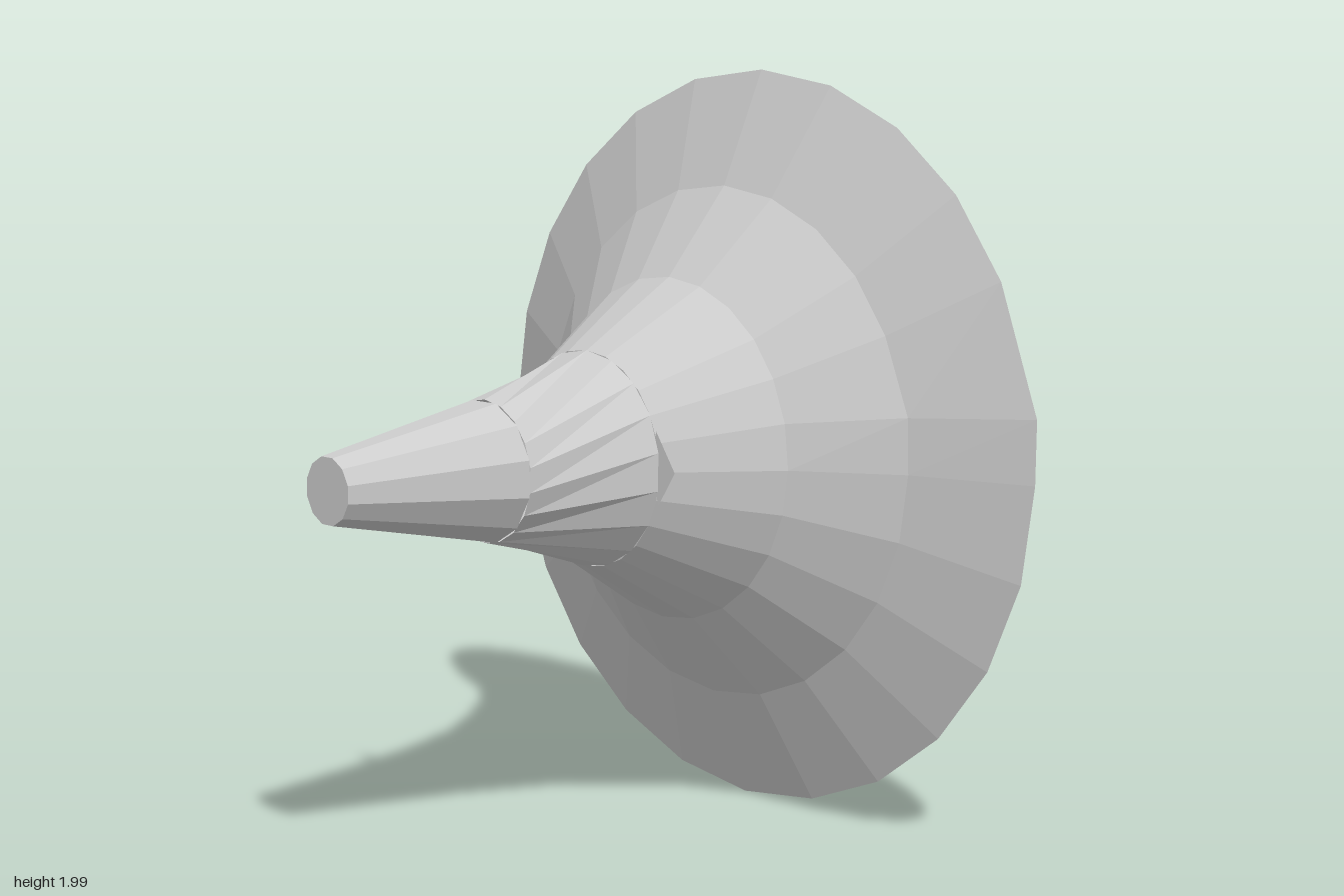
import * as THREE from 'three';

const material = new THREE.MeshStandardMaterial({ color: 0xcccccc, flatShading: true, side: THREE.DoubleSide });
const rad = THREE.MathUtils.degToRad;
const AXIS_Y = 1;

// Ring of points around the horn axis; skew shifts the seam corner on both sides.
function ring(radius, z, sides, start, skew = 0) {
  const points = [];
  for (let i = 0; i < sides; i++) {
    const seam = i === 0 || i === sides / 2;
    const a = rad(start + (i * 360) / sides - (seam ? skew : 0));
    const r = seam && skew ? radius * 1.012 : radius;
    points.push(new THREE.Vector3(r * Math.cos(a), AXIS_Y + r * Math.sin(a), z));
  }
  return points;
}

function meshFrom(name, points) {
  const geometry = new THREE.BufferGeometry().setFromPoints(points);
  geometry.computeVertexNormals();
  const mesh = new THREE.Mesh(geometry, material);
  mesh.name = name;
  return mesh;
}

// Faceted sleeve between a back ring and a front ring.
function band(name, back, front) {
  const points = [];
  back.forEach((b, i) => {
    const j = (i + 1) % back.length;
    points.push(b, back[j], front[i], back[j], front[j], front[i]);
  });
  return meshFrom(name, points);
}

// Flat end closing a ring, facing +z or -z.
function cap(name, points, facing) {
  const centre = new THREE.Vector3(0, AXIS_Y, points[0].z);
  const fan = [];
  points.forEach((p, i) => {
    const next = points[(i + 1) % points.length];
    fan.push(centre, ...(facing > 0 ? [p, next] : [next, p]));
  });
  return meshFrom(name, fan);
}

// Thin flat sliver standing out from a joint between two sleeves.
function fin(name, z, corners) {
  const shape = new THREE.Shape(corners.map(([x, y]) => new THREE.Vector2(x, y)));
  const mesh = new THREE.Mesh(new THREE.ShapeGeometry(shape), material);
  mesh.position.z = z;
  mesh.name = name;
  return mesh;
}

export function createModel() {
  const group = new THREE.Group();
  group.name = 'flaredHorn';

  // Flared bell
  const rim = ring(0.995, -0.72, 24, 14, 5.5);
  const flare = ring(0.69, -0.59, 24, 14, 3);
  const throat = ring(0.457, -0.395, 24, 14);
  group.add(band('bellRim', rim, flare), band('bellFlare', flare, throat));
  group.add(cap('backDisc', rim, -1));

  // Throat, twisted collar and narrow tip
  group.add(band('throat', throat, ring(0.283, -0.11, 24, 14)));
  const collarBack = ring(0.283, -0.11, 18, 9);
  const collarFront = ring(0.183, 0.23, 18, -11);
  group.add(band('twistedCollar', collarBack, collarFront));
  const tip = ring(0.086, 0.72, 12, 15);
  group.add(band('tip', ring(0.183, 0.23, 12, 15), tip), cap('tipCap', tip, 1));

  // Side slivers at the joints
  for (const s of [1, -1]) {
    group.add(fin(s > 0 ? 'leftFin' : 'rightFin', -0.11,
      [[s * 0.34, 1.0], [s * 0.27, 1.1], [s * 0.255, 1.0], [s * 0.28, 0.91]]));
  }
  group.add(fin('rightTipFin', 0.23, [[-0.28, 1.03], [-0.18, 1.1], [-0.165, 1.0], [-0.18, 0.97]]));
  group.add(fin('rightBellFin', -0.395, [[-0.51, 1.06], [-0.4, 1.22], [-0.455, 1.07], [-0.43, 0.89]]));

  return group;
}
